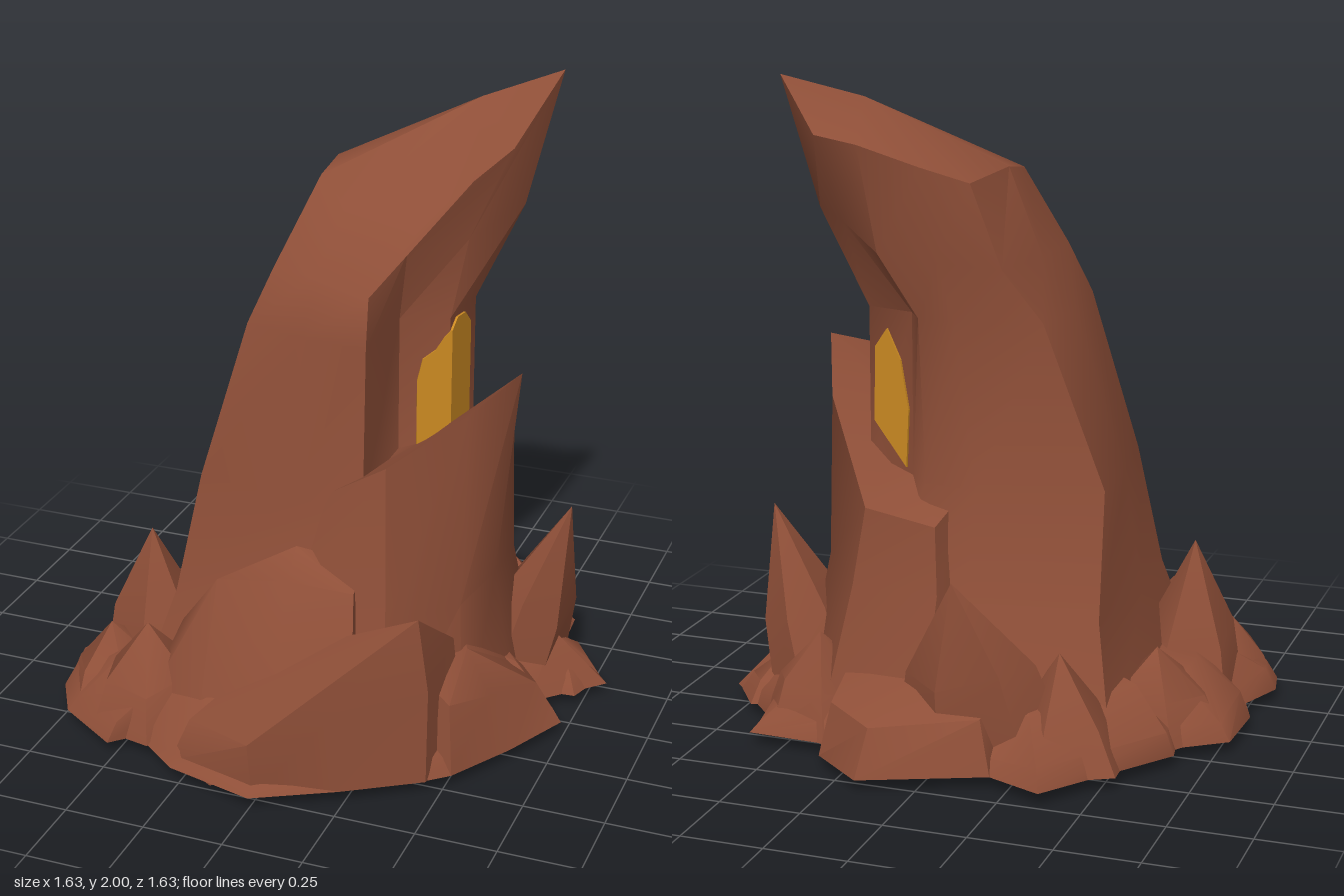
import * as THREE from 'three';
import { toCreasedNormals } from 'three/addons/utils/BufferGeometryUtils.js';

const rock = new THREE.MeshStandardMaterial({ color: 0x8f4f38 });
rock.name = 'red rock';
const gold = new THREE.MeshStandardMaterial({ color: 0xcc8a22 });
gold.name = 'gold ore';

// Small repeatable noise in -1..1
const noise = (n) => {
  const s = Math.sin(n * 127.1 + 3.7) * 43758.5453;
  return (s - Math.floor(s)) * 2 - 1;
};

// Skin a stack of [x, y, z] rings (front, right, back, left) and close both ends
function loft(name, rings, top, crease = 0.75) {
  const n = rings[0].length;
  const pos = rings.flat(2);
  const mid = rings[0].reduce((m, p) => m.map((v, i) => v + p[i] / n), [0, 0, 0]);
  pos.push(...mid, ...top);
  const low = rings.length * n, high = low + 1, last = low - n;
  const index = [];
  for (let j = 0; j < n; j++) {
    const k = (j + 1) % n;
    for (let r = 0; r < rings.length - 1; r++) {
      const a = r * n + j, b = r * n + k;
      index.push(a, b, b + n, a, b + n, a + n);
    }
    index.push(low, k, j, high, last + j, last + k);
  }
  const geo = new THREE.BufferGeometry();
  geo.setAttribute('position', new THREE.Float32BufferAttribute(pos, 3));
  geo.setIndex(index);
  const mesh = new THREE.Mesh(toCreasedNormals(geo, crease), rock);
  mesh.name = name;
  return mesh;
}

const level = (y, pts) => pts.map(([x, z]) => [x, y, z]);

// Leaning pointed rock: irregular base, shoulder ring and tip
function shard(name, [cx, cz], [rx, rz], tip, seed, sides = 6) {
  const h = tip[1] - 0.04;
  const ring = (t, size) => Array.from({ length: sides }, (_, i) => {
    const a = (i / sides) * Math.PI * 2 + seed;
    const k = size * (1 + 0.12 * noise(seed * 9 + i));
    return [
      cx + (tip[0] - cx) * t + Math.sin(a) * rx * k,
      0.04 + h * t * (1 + (t ? 0.2 * noise(seed * 5 + i) : 0)),
      cz + (tip[2] - cz) * t + Math.cos(a) * rz * k,
    ];
  });
  return loft(name, [ring(0, 1), ring(0.45, 0.72)], tip);
}

// Thin ore plate lying on the upright wall from a to b
function orePlate(name, [ax, az], [bx, bz], outline) {
  const shape = new THREE.Shape(outline.map(([u, y]) => new THREE.Vector2(u, y)));
  const geo = new THREE.ExtrudeGeometry(shape, { depth: 0.007, bevelEnabled: false });
  const mesh = new THREE.Mesh(geo, gold);
  mesh.name = name;
  mesh.position.set(ax, 0, az);
  mesh.rotation.y = Math.atan2(az - bz, bx - ax);
  return mesh;
}

export function createModel() {
  const model = new THREE.Group();
  model.name = 'rockSpire';

  // Ragged low plinth
  const outline = [
    [0, 0.81], [0.24, 0.68], [0.44, 0.55], [0.52, 0.48], [0.74, 0.07], [0.65, -0.05],
    [0.81, -0.21], [0.61, -0.43], [0.6, -0.58], [0.36, -0.59], [0.33, -0.68], [0.16, -0.82],
    [-0.2, -0.67], [-0.37, -0.74], [-0.66, -0.34], [-0.65, -0.28], [-0.79, -0.18], [-0.8, 0.04],
    [-0.76, 0.15], [-0.82, 0.3], [-0.8, 0.41], [-0.72, 0.55], [-0.52, 0.68], [-0.45, 0.61], [-0.28, 0.74],
  ];
  const step = (s, y) => outline.map(([x, z], i) => [x * s, y + 0.03 * noise(i + y), z * s]);
  model.add(loft('plinth', [level(0.04, outline), step(0.96, 0.09), step(0.79, 0.2)], [0, 0.32, 0]));

  // Main spire, cleft on its left side
  const inner = [0.19, 0.05], bend = [0.33, -0.01], ridge = [0.345, -0.205], groove = [0.19, -0.25];
  model.add(loft('spire', [
    level(0.04, [[-0.54, 0.45], [-0.1, 0.55], [0.25, 0.52], [0.5, 0.2], [0.54, 0], [0.55, -0.15],
      [0.5, -0.38], [0.3, -0.58], [-0.05, -0.6], [-0.5, -0.45], [-0.58, 0]]),
    level(0.42, [[-0.43, 0.34], [-0.1, 0.42], [0.2, 0.42], [0.36, 0.15], [0.4, 0], [0.42, -0.15],
      [0.34, -0.32], [0.2, -0.43], [-0.05, -0.45], [-0.42, -0.32], [-0.46, 0]]),
    level(0.8, [[-0.36, 0.29], [-0.05, 0.35], [0.18, 0.33], inner, bend, ridge,
      groove, [0.12, -0.33], [-0.05, -0.36], [-0.41, -0.24], [-0.41, -0.02]]),
    level(1.3, [[-0.22, 0.24], [-0.02, 0.3], [0.18, 0.31], inner, bend, ridge,
      groove, [0.14, -0.33], [0.02, -0.35], [-0.23, -0.28], [-0.26, -0.06]]),
    [[-0.16, 1.46, 0.18], [0, 1.48, 0.26], [0.18, 1.45, 0.29], [0.23, 1.53, 0.1], [0.37, 1.54, -0.05],
      [0.48, 1.6, -0.25], [0.36, 1.58, -0.36], [0.24, 1.5, -0.4], [0.06, 1.48, -0.39], [-0.12, 1.46, -0.33], [-0.17, 1.46, -0.1]],
    [[-0.07, 1.71, 0.02], [0.04, 1.65, 0.1], [0.28, 1.63, 0.08], [0.38, 1.72, -0.05], [0.47, 1.8, -0.15],
      [0.565, 2, -0.33], [0.42, 1.84, -0.43], [0.28, 1.82, -0.45], [0.1, 1.76, -0.42], [-0.03, 1.71, -0.35], [-0.07, 1.73, -0.12]],
  ], [0.35, 1.93, -0.21]));

  // Ore around the cleft ridge
  model.add(orePlate('frontOre', inner, bend, [
    [0.054, 0.85], [0.154, 0.85], [0.154, 1.26], [0.135, 1.24], [0.11, 1.2], [0.07, 1.17], [0.054, 1.1],
  ]));
  model.add(orePlate('sideOre', bend, ridge, [
    [0, 0.85], [0.145, 0.85], [0.145, 1.24], [0.1, 1.285], [0.04, 1.29], [0, 1.26],
  ]));
  model.add(orePlate('backOre', ridge, groove, [
    [0.02, 0.95], [0.14, 0.82], [0.15, 1], [0.12, 1.15], [0.07, 1.24], [0.025, 1.18],
  ]));

  // Tall slanted shell of rock wrapping round below the ore
  model.add(loft('sideShell', [
    level(0.04, [[-0.1, 0.54], [0.3, 0.58], [0.52, 0.38], [0.58, 0.05],
      [0.57, -0.25], [0.4, -0.52], [0.05, -0.6], [-0.1, -0.3], [-0.1, 0]]),
    level(0.5, [[0, 0.43], [0.3, 0.46], [0.47, 0.27], [0.5, 0.02],
      [0.5, -0.17], [0.31, -0.45], [0.03, -0.48], [-0.05, -0.3], [0, 0]]),
    [[0.07, 0.83, 0.33], [0.28, 0.98, 0.41], [0.46, 1.09, 0.2], [0.56, 1.16, 0],
      [0.49, 1, -0.16], [0.27, 0.74, -0.44], [0.05, 0.7, -0.44], [0.02, 0.76, -0.3], [0.14, 0.86, 0.1]],
  ], [0.27, 0.9, -0.02]));

  // Rounded step on the front
  model.add(loft('frontStep', [
    level(0.04, [[-0.5, 0.52], [-0.25, 0.64], [0, 0.66], [0.25, 0.62], [0.2, 0.3], [-0.45, 0.2]]),
    [[-0.37, 0.37, 0.43], [-0.23, 0.56, 0.48], [0, 0.6, 0.49], [0.2, 0.58, 0.46], [0.18, 0.6, 0.3], [-0.34, 0.4, 0.25]],
  ], [0, 0.68, 0.41]));

  // Broad front rock with a crest rising towards its left
  model.add(loft('frontRidge', [
    level(0.04, [[-0.3, 0.7], [0, 0.78], [0.24, 0.68], [0.46, 0.54], [0.5, 0.3], [-0.15, 0.35]]),
    [[-0.25, 0.17, 0.66], [0, 0.22, 0.81], [0.2, 0.27, 0.7], [0.46, 0.34, 0.53], [0.47, 0.42, 0.33], [-0.08, 0.32, 0.45]],
  ], [0.43, 0.58, 0.54]));

  // Broad rock at the foot of the shell
  model.add(loft('sideWideRock', [
    level(0.04, [[0.35, 0.45], [0.52, 0.48], [0.64, 0.28], [0.74, 0.07], [0.64, -0.05], [0.4, 0]]),
    [[0.38, 0.34, 0.42], [0.5, 0.26, 0.45], [0.58, 0.23, 0.3], [0.66, 0.17, 0.08], [0.58, 0.16, -0.03], [0.4, 0.35, 0.05]],
  ], [0.5, 0.37, 0.29]));

  // Flat ledge at the back
  model.add(loft('backLedge', [
    level(0.04, [[0.36, -0.5], [0.33, -0.68], [0.16, -0.82], [-0.2, -0.67], [-0.2, -0.45]]),
    [[0.32, 0.24, -0.48], [0.3, 0.2, -0.65], [0.14, 0.18, -0.76], [-0.16, 0.2, -0.64], [-0.2, 0.3, -0.45]],
  ], [0.05, 0.25, -0.58]));

  // Pointed rocks around the foot: base centre, base radii, tip
  [
    ['frontLeftRock', [-0.46, 0.46], [0.2, 0.2], [-0.47, 0.36, 0.47]],
    ['sidePeakRock', [-0.52, 0.18], [0.21, 0.2], [-0.575, 0.54, 0.2]],
    ['sideLowRock', [-0.63, 0.34], [0.16, 0.19], [-0.66, 0.26, 0.34]],
    ['sideBackRock', [-0.58, -0.08], [0.2, 0.22], [-0.55, 0.3, -0.14]],
    ['backCornerRock', [-0.36, -0.44], [0.2, 0.2], [-0.34, 0.36, -0.45]],
    ['backPeakRock', [-0.13, -0.46], [0.26, 0.18], [-0.07, 0.6, -0.63]],
    ['backSideRock', [0.42, -0.43], [0.2, 0.16], [0.43, 0.33, -0.42]],
    ['sideTallRock', [0.49, -0.19], [0.16, 0.22], [0.675, 0.65, -0.2]],
    ['sideOuterRock', [0.64, -0.22], [0.14, 0.14], [0.64, 0.18, -0.22]],
  ].forEach(([name, base, radii, tip], i) => model.add(shard(name, base, radii, tip, i * 0.7 + 0.3)));

  // Flat stones bedded under the plinth
  [[-0.15, 0.66], [0.28, 0.52], [-0.62, 0.42], [0.66, -0.22]].forEach(([x, z], i) => {
    const geo = toCreasedNormals(new THREE.IcosahedronGeometry(0.1, 0), 0.4);
    geo.rotateY(i).scale(1, 0.35, 1);
    geo.computeBoundingBox();
    geo.translate(x, -geo.boundingBox.min.y + (i % 3) * 0.01, z);
    const stone = new THREE.Mesh(geo, rock);
    stone.name = 'beddedStone';
    model.add(stone);
  });

  return model;
}
